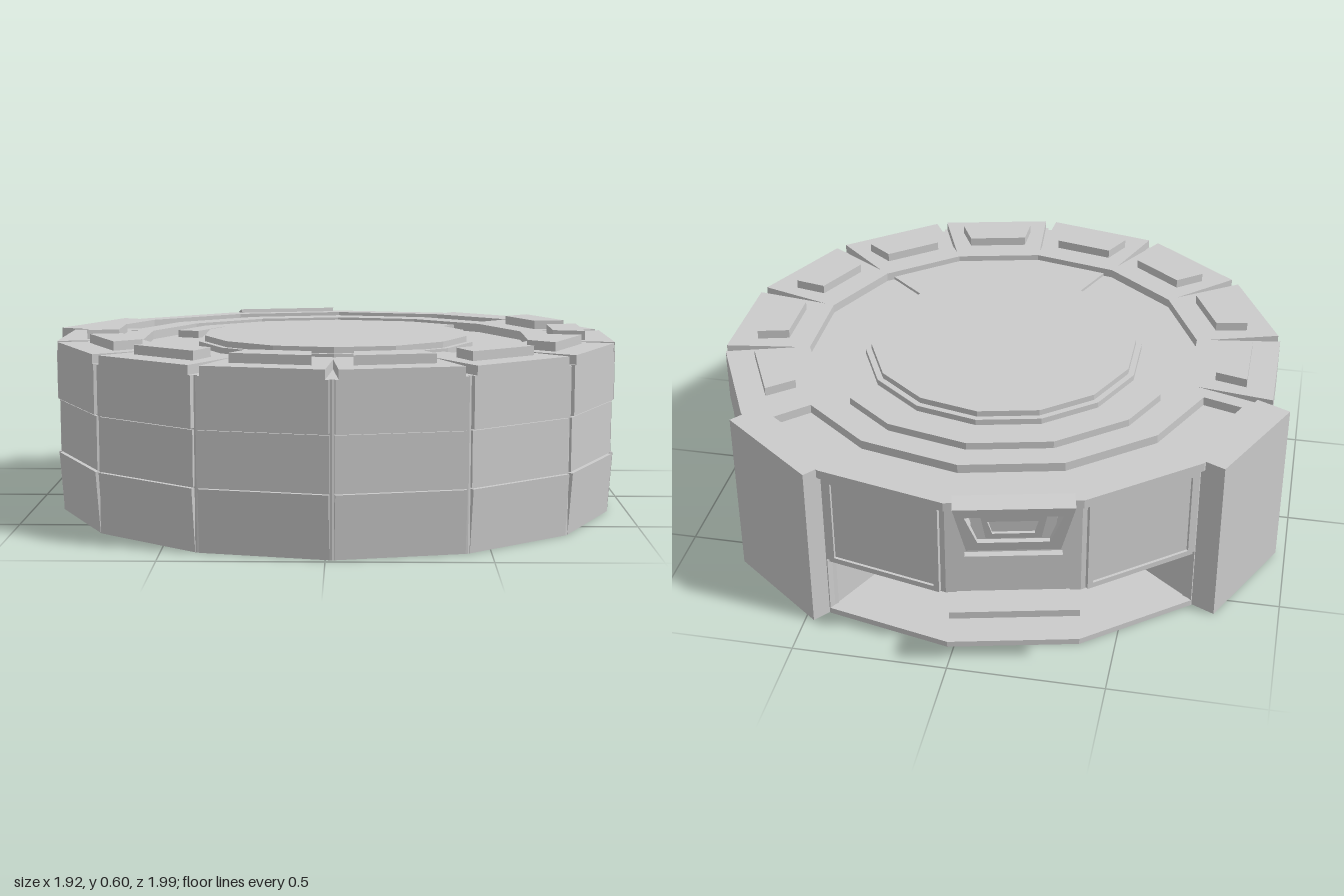
import * as THREE from 'three';

const N = 14, STEP = 360 / N, R = 0.955, APOTHEM = 0.931;
const TOP = 0.57, FLOOR = 0.54;
const FRONT_SIDES = [0, 1, 2, 3, 4, 10, 11, 12, 13];
const rad = THREE.MathUtils.degToRad;

export function createModel() {
  const model = new THREE.Group();
  model.name = 'fourteenSidedStation';
  const body = new THREE.Group();
  body.name = 'body';
  body.position.set(0.02, 0, 0.04);
  model.add(body);
  const mat = new THREE.MeshStandardMaterial({ color: 0xcccccc, flatShading: true });

  const add = (parent, geo, name) => {
    const mesh = new THREE.Mesh(geo, mat);
    mesh.name = name;
    parent.add(mesh);
    return mesh;
  };

  // point on the 14-gon of radius r, angle in degrees from the front (+z) towards +x
  const ringPoint = (r, deg) => {
    const mid = (Math.floor(deg / STEP + 1e-6) + 0.5) * STEP;
    const d = r * Math.cos(rad(STEP / 2)) / Math.cos(rad(deg - mid));
    return new THREE.Vector2(d * Math.sin(rad(deg)), -d * Math.cos(rad(deg)));
  };
  const ring = (r, a = 0, b = 360 - STEP) => {
    const angles = [a];
    for (let k = Math.floor(a / STEP + 1e-6) + 1; k * STEP < b - 1e-6; k++) angles.push(k * STEP);
    angles.push(b);
    return angles.map((t) => ringPoint(r, t));
  };
  const band = (r0, r1, a, b) => [...ring(r1, a, b), ...ring(r0, a, b).reverse()];

  // horizontal slab from a plan outline
  const slab = (points, y0, y1, name, holes = []) => {
    const shape = new THREE.Shape(points);
    holes.forEach((h) => shape.holes.push(new THREE.Path(h)));
    const geo = new THREE.ExtrudeGeometry(shape, { depth: y1 - y0, bevelEnabled: false });
    geo.rotateX(-Math.PI / 2).translate(0, y0, 0);
    return add(body, geo, name);
  };

  // group for one side, local +z pointing outwards
  const sideGroup = (j, name) => {
    const g = new THREE.Group();
    g.name = name;
    g.rotation.y = rad((j + 0.5) * STEP);
    body.add(g);
    return g;
  };
  // prism with an [outward, up] profile, swept across the side
  const prism = (parent, profile, width, name) => {
    const shape = new THREE.Shape(profile.map(([z, y]) => new THREE.Vector2(z, y)));
    const geo = new THREE.ExtrudeGeometry(shape, { depth: width, bevelEnabled: false });
    geo.translate(0, 0, -width / 2).rotateY(-Math.PI / 2);
    return add(parent, geo, name);
  };
  const block = (parent, z0, z1, y0, y1, width, name) =>
    prism(parent, [[z0, y0], [z1, y0], [z1, y1], [z0, y1]], width, name);
  // upright frame facing outwards, tapering from the top width to the bottom width
  const frame = (parent, top, bottom, height, rim, depth, name) => {
    const outline = (m) => [[-bottom / 2 + m, m], [bottom / 2 - m, m],
      [top / 2 - m, height - m], [-top / 2 + m, height - m]].map((p) => new THREE.Vector2(...p));
    const shape = new THREE.Shape(outline(0));
    shape.holes.push(new THREE.Path(outline(rim)));
    return add(parent, new THREE.ExtrudeGeometry(shape, { depth, bevelEnabled: false }), name);
  };

  // core: base plate, lower storey with the rear opening, upper storey
  const core = 0.94;
  slab(ring(core), 0, 0.02, 'basePlate');
  slab([...ring(core, 9 * STEP, 20 * STEP), ...ring(0.25, 6 * STEP, 9 * STEP)],
    0.02, 0.22, 'lowerCore');
  slab(ring(core), 0.22, FLOOR, 'upperCore');

  // roof deck with wedge slits at the corners, round well and rear trench
  const deck = [];
  for (let k = 0; k < N; k++) {
    const a = k * STEP;
    if (k <= 4 || k >= 10) {
      deck.push(ringPoint(R, a - 1.2), ringPoint(0.7, a), ringPoint(R, a + 1.2));
    } else deck.push(ringPoint(R, a));
  }
  slab(deck, FLOOR, TOP, 'roofDeck', [ring(0.665), band(0.75, 0.885, 133, 253)]);

  // parts inside the well
  slab(ring(0.475), FLOOR, 0.56, 'discStep');
  slab(ring(0.455), 0.56, 0.58, 'centreDisc');
  slab(band(0.54, 0.62, 135, 249), FLOOR, 0.565, 'rearArcRail');
  slab(band(0.44, 0.67, 337, 409), FLOOR, 0.55, 'frontPlateau');

  // three tiers of cladding and one roof block on each plain side
  for (const j of FRONT_SIDES) {
    const g = sideGroup(j, 'claddingSide');
    prism(g, [[0.88, 0], [0.917, 0], [APOTHEM, 0.198], [0.88, 0.198]], 0.404, 'lowerPanel');
    block(g, 0.88, 0.924, 0.202, 0.375, 0.404, 'middlePanel');
    block(g, 0.88, APOTHEM, 0.38, FLOOR, 0.404, 'upperPanel');
    const top = new THREE.Shape([[-0.102, -0.735], [0.102, -0.735], [0.128, -0.84], [-0.128, -0.84]]
      .map((p) => new THREE.Vector2(...p)));
    const geo = new THREE.ExtrudeGeometry(top, { depth: 0.03, bevelEnabled: false });
    add(g, geo.rotateX(-Math.PI / 2).translate(0, TOP, 0), 'roofBlock');
  }

  // pillars either side of the rear bays
  for (const [j, out] of [[5, 0.98], [9, 1.0]]) {
    block(sideGroup(j, 'rearPillar'), 0.88, out, 0, TOP, 0.408, 'pillar');
  }

  // framed shutters in the outer rear bays
  for (const j of [6, 8]) {
    const g = sideGroup(j, 'shutterBay');
    block(g, 0.88, 0.921, 0.235, 0.54, 0.37, 'shutter');
    frame(g, 0.385, 0.385, 0.32, 0.018, 0.03, 'shutterFrame').position.set(0, 0.225, 0.9);
  }

  // middle rear bay: leaning window, sill block and tray
  const bay = sideGroup(7, 'windowBay');
  prism(bay, [[0.88, 0.4], [0.92, 0.4], [0.935, 0.55], [0.88, 0.55]], 0.26, 'windowBack');
  const lean = new THREE.Group();
  lean.name = 'leaningWindow';
  lean.position.set(0, 0.39, 0.93);
  lean.rotation.x = 0.22;
  bay.add(lean);
  frame(lean, 0.37, 0.29, 0.185, 0.035, 0.06, 'windowFrame').position.z = -0.06;
  frame(lean, 0.2, 0.17, 0.095, 0.02, 0.03, 'innerFrame').position.set(0, 0.045, -0.04);
  block(bay, 0.88, 0.94, 0.26, 0.375, 0.3, 'sillBlock');
  const tray = new THREE.Shape([[-0.16, -0.88], [0.16, -0.88], [0.2, -0.98], [0.2, -1.02], [-0.2, -1.02], [-0.2, -0.98]]
    .map((p) => new THREE.Vector2(...p)));
  const trayGeo = new THREE.ExtrudeGeometry(tray, { depth: 0.024, bevelEnabled: false });
  add(bay, trayGeo.rotateX(-Math.PI / 2).translate(0, 0.2, 0), 'tray');

  return model;
}
